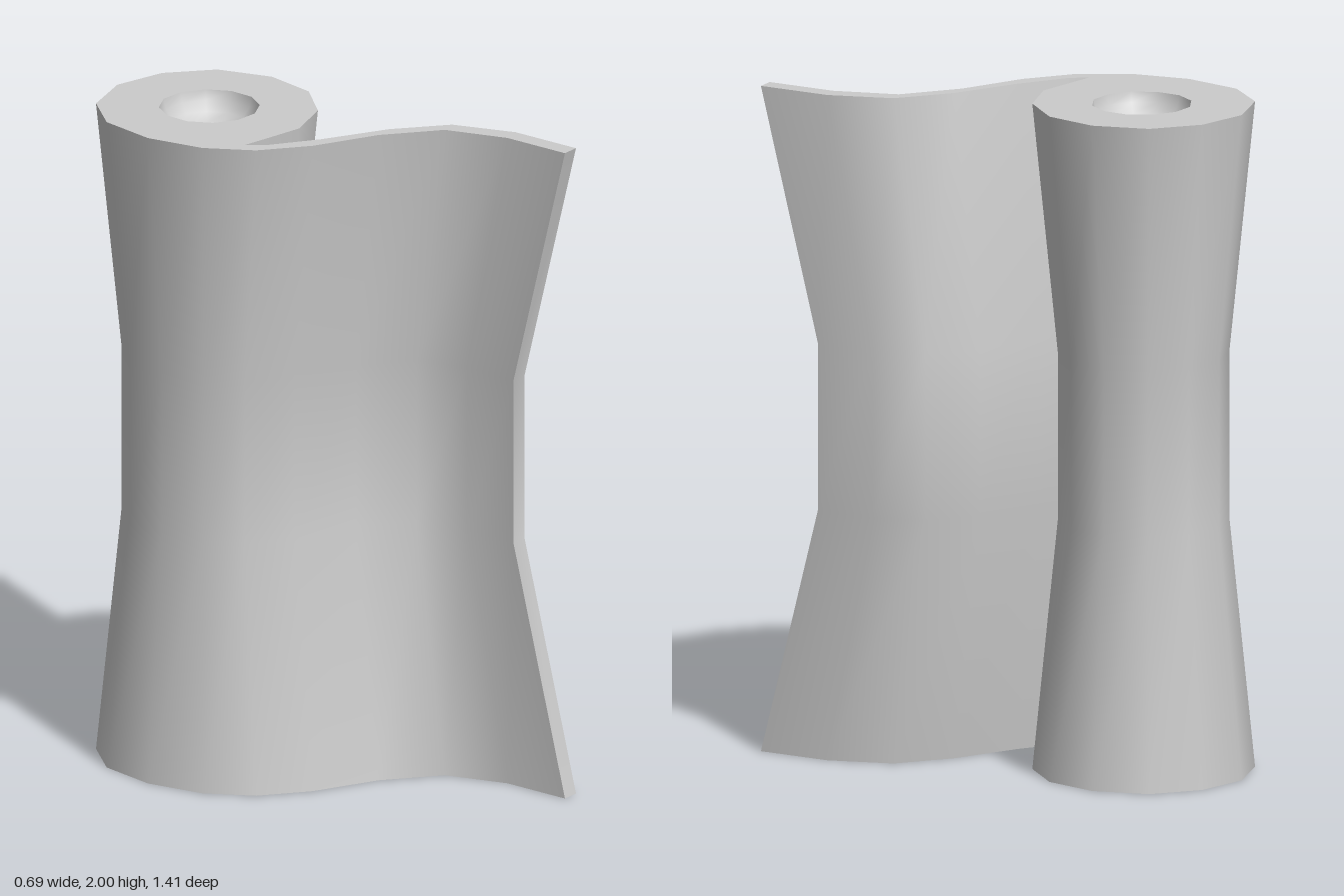
import * as THREE from 'three';

const CX = -0.025, CZ = -0.38;
const material = new THREE.MeshStandardMaterial({ color: 0xcccccc, side: THREE.DoubleSide });

// Each point is [x, z, waistX, waistZ]; roll points shrink towards the roll's axis at the waist.
const onRoll = ([x, z]) => [x, z, CX + (x - CX) * 0.77, CZ + (z - CZ) * 0.77];
const onSheet = ([x, z, dx, dz]) => [x, z, x + dx, z + dz];

// Sheet face towards the roll, from the free end to the slit
const innerFace = [
  ...[
    [0.315, 0.705, 0.012, -0.195], [0.325, 0.48, 0.02, -0.16], [0.27, 0.29, 0.035, -0.125],
    [0.13, 0.165, 0.043, -0.11], [-0.06, 0.055, 0.045, -0.097], [-0.19, -0.04, 0.042, -0.082],
  ].map(onSheet),
  onRoll([-0.23, -0.095]),
];

// Roll surface, running on into the outer face of the sheet
const outerFace = [
  ...[
    [-0.23, -0.095], [-0.16, -0.08], [-0.02, -0.052], [0.14, -0.1], [0.26, -0.22], [0.302, -0.383],
    [0.26, -0.55], [0.14, -0.663], [-0.02, -0.708], [-0.19, -0.662], [-0.305, -0.54],
    [-0.348, -0.36], [-0.325, -0.18], [-0.25, -0.04],
  ].map(onRoll),
  ...[
    [-0.12, 0.07, 0.047, -0.1], [0.07, 0.17, 0.042, -0.112], [0.22, 0.3, 0.035, -0.127],
    [0.27, 0.49, 0.02, -0.16], [0.26, 0.705, 0.012, -0.195],
  ].map(onSheet),
];

// Upright wall along a path, pinched between the two middle levels
function wall(path) {
  const levels = [[0, 0], [0.75, 1], [1.25, 1], [2, 0]];
  const pos = [], index = [], n = path.length;
  for (const [y, waist] of levels)
    for (const p of path) pos.push(p[waist * 2], y, p[waist * 2 + 1]);
  for (let j = 0; j < levels.length - 1; j++)
    for (let i = 0; i < n - 1; i++) {
      const a = j * n + i, b = a + 1, c = b + n, d = a + n;
      index.push(a, b, c, a, c, d);
    }
  const g = new THREE.BufferGeometry();
  g.setAttribute('position', new THREE.Float32BufferAttribute(pos, 3));
  g.setIndex(index);
  g.computeVertexNormals();
  return g;
}

export function createModel() {
  const group = new THREE.Group();
  const add = (name, geometry) => {
    const mesh = new THREE.Mesh(geometry, material);
    mesh.name = name;
    group.add(mesh);
    return mesh;
  };

  add('sheetInnerFace', wall(innerFace));
  add('rollAndSheetOuterFace', wall(outerFace));
  add('sheetEnd', wall([outerFace[outerFace.length - 1], innerFace[0]]));

  // Top cap with a round opening for the hollow
  const outline = [...innerFace, ...outerFace.slice(1)];
  const top = new THREE.Shape(outline.map(([x, z]) => new THREE.Vector2(x, -z)));
  const sides = 12, radius = 0.148, phase = Math.PI / 18, hx = -0.015;
  const rim = [];
  for (let i = 0; i < sides; i++) {
    const a = phase + (i / sides) * Math.PI * 2;
    rim.push(new THREE.Vector2(hx + radius * Math.sin(a), -(CZ + radius * Math.cos(a))));
  }
  top.holes.push(new THREE.Path(rim));
  add('topCap', new THREE.ShapeGeometry(top).rotateX(-Math.PI / 2).translate(0, 2, 0));

  // Rounded hollow in the top of the roll
  const bowl = [];
  for (let i = 0; i <= 5; i++) {
    const a = (i / 5) * Math.PI / 2;
    bowl.push(new THREE.Vector2(radius * Math.sin(a), -0.1 * Math.cos(a)));
  }
  add('topHollow', new THREE.LatheGeometry(bowl, sides, phase)).position.set(hx, 2, CZ);

  // Lower edge of the sheet; the roll itself is open below
  const strip = [...innerFace, ...outerFace.slice(13)];
  const bottom = new THREE.Shape(strip.map(([x, z]) => new THREE.Vector2(x, z)));
  add('sheetBottomEdge', new THREE.ShapeGeometry(bottom).rotateX(Math.PI / 2));

  return group;
}
